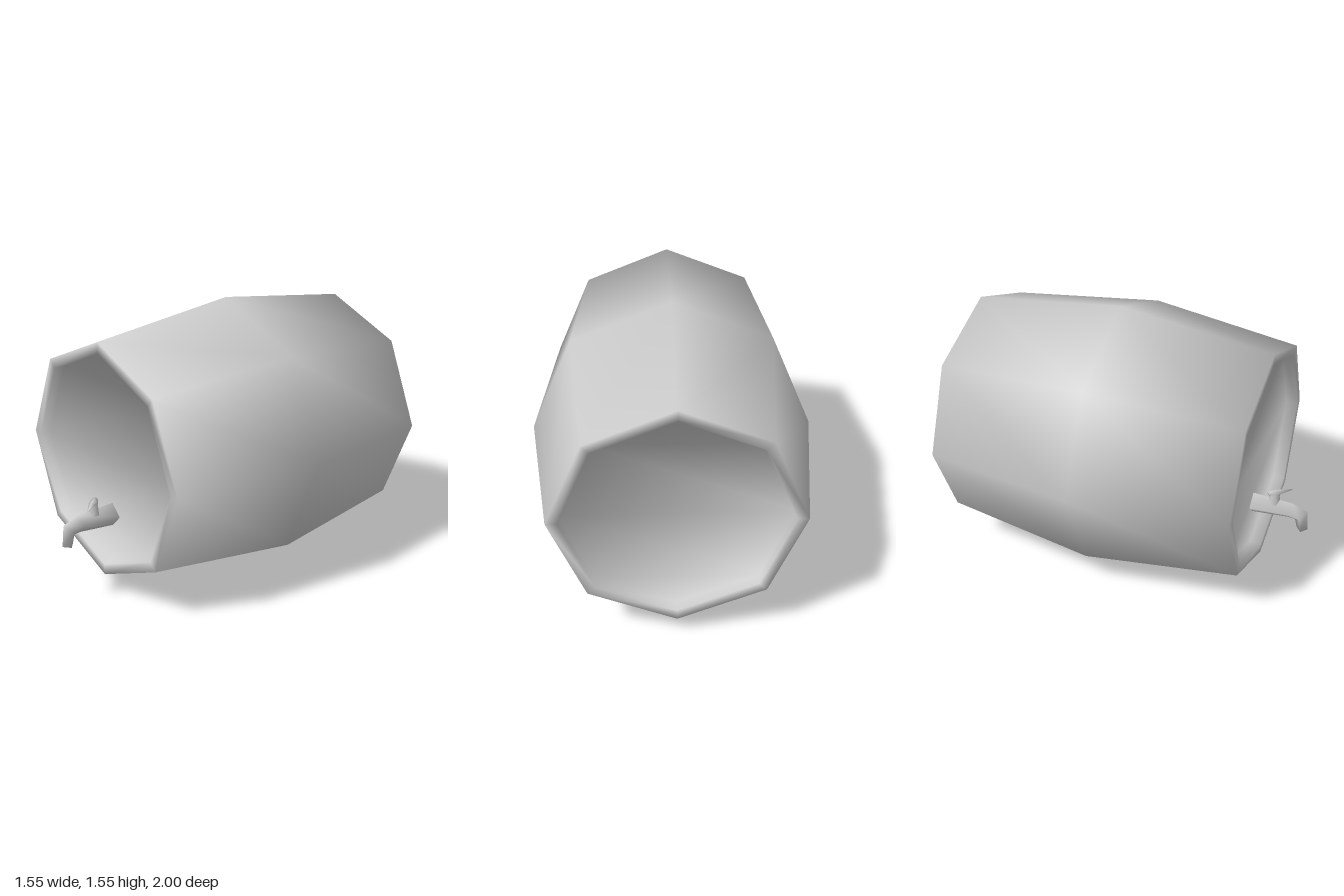
import * as THREE from 'three';

// Smooth closed skin through equal-sized rings of points, flat caps at both ends.
// Rings run counter-clockwise when looking back along the path.
function loft(rings) {
  const n = rings[0].length;
  const points = rings.flat().map((p) => new THREE.Vector3(...p));
  const normals = points.map(() => new THREE.Vector3());
  const index = [];

  // Every face counts equally in the normals of its corners
  const shade = (corners, a, b, c, d) => {
    const u = points[c].clone().sub(points[a]);
    const v = points[d].clone().sub(points[b]);
    const normal = u.cross(v).normalize();
    corners.forEach((k) => normals[k].add(normal));
  };

  for (let r = 0; r < rings.length - 1; r++) {
    for (let i = 0; i < n; i++) {
      const a = r * n + i, b = r * n + (i + 1) % n;
      index.push(a, b, b + n, a, b + n, a + n);
      shade([a, b, a + n, b + n], a, b, b + n, a + n);
    }
  }

  // Caps are cut into strips across the ring, without a centre point
  const last = (rings.length - 1) * n;
  const cap = (a, b, c) => index.push(last + a, last + b, last + c, a, c, b);
  let lo = 0, hi = n;
  while (hi - lo > 2) {
    cap(lo + 1, hi - 1, hi % n);
    lo++;
    if (hi - lo > 2) cap(lo, lo + 1, hi - 1);
    hi--;
  }
  const ring = Array.from({ length: n }, (_, i) => i);
  const q = n / 4;
  shade(ring, 0, 3 * q, 2 * q, q);
  shade(ring.map((i) => last + i), last, last + q, last + 2 * q, last + 3 * q);

  const geometry = new THREE.BufferGeometry().setFromPoints(points);
  const flat = normals.flatMap((v) => v.normalize().toArray());
  geometry.setAttribute('normal', new THREE.Float32BufferAttribute(flat, 3));
  geometry.setIndex(index);
  return geometry;
}

export function createModel() {
  const grey = new THREE.MeshStandardMaterial({ color: 0xcccccc });
  grey.name = 'light grey';

  const model = new THREE.Group();
  model.name = 'barrelWithTap';
  const add = (name, geometry, parent) => {
    const mesh = new THREE.Mesh(geometry, grey);
    mesh.name = name;
    parent.add(mesh);
    return mesh;
  };

  // Barrel: eight-sided, bulging in the middle, with a recessed lid at each end
  const profile = [
    [0.605, -0.935], [0.605, -1], [0.665, -1], [0.774, -0.133],
    [0.665, 0.735], [0.605, 0.735], [0.605, 0.67],
  ];
  const octagon = ([radius, z]) => Array.from({ length: 8 }, (_, i) => {
    const angle = Math.PI / 2 + i * Math.PI / 4;
    return [radius * Math.cos(angle), 0.777 + radius * Math.sin(angle), z];
  });
  add('barrel', loft(profile.map(octagon)), model);

  const tap = new THREE.Group();
  tap.name = 'tap';
  model.add(tap);

  // Spout: diamond sections given by outer y, z, inner y, z and half width
  const sections = [
    [0.525, 0.66, 0.392, 0.66, 0.066],
    [0.513, 0.90, 0.413, 0.88, 0.052],
    [0.48, 0.988, 0.41, 0.922, 0.046],
    [0.358, 1.0, 0.358, 0.935, 0.04],
  ];
  add('spout', loft(sections.map(([oy, oz, iy, iz, w]) => {
    const y = (oy + iy) / 2, z = (oz + iz) / 2;
    return [[0, oy, oz], [-w, y, z], [0, iy, iz], [w, y, z]];
  })), tap);

  // Stem of the handle
  const stem = add('handleStem', new THREE.CylinderGeometry(0.027, 0.034, 0.07, 6), tap);
  stem.position.set(0, 0.52, 0.795);

  // Lever: tapered to a point, turned towards the model's left
  const d = new THREE.Vector3(0.105, 0, 0.12).normalize();
  const leverSections = [
    // distance from stem, half width, lower y, upper y
    [-0.042, 0.014, 0.553, 0.576],
    [0, 0.026, 0.533, 0.578],
    [0.03, 0.02, 0.54, 0.574],
    [0.107, 0.003, 0.553, 0.559],
  ];
  add('handleLever', loft(leverSections.map(([t, w, low, high]) => {
    const x = d.x * t, z = 0.795 + d.z * t, y = (low + high) / 2;
    return [[x, high, z], [x - d.z * w, y, z + d.x * w], [x, low, z], [x + d.z * w, y, z - d.x * w]];
  })), tap);

  return model;
}
